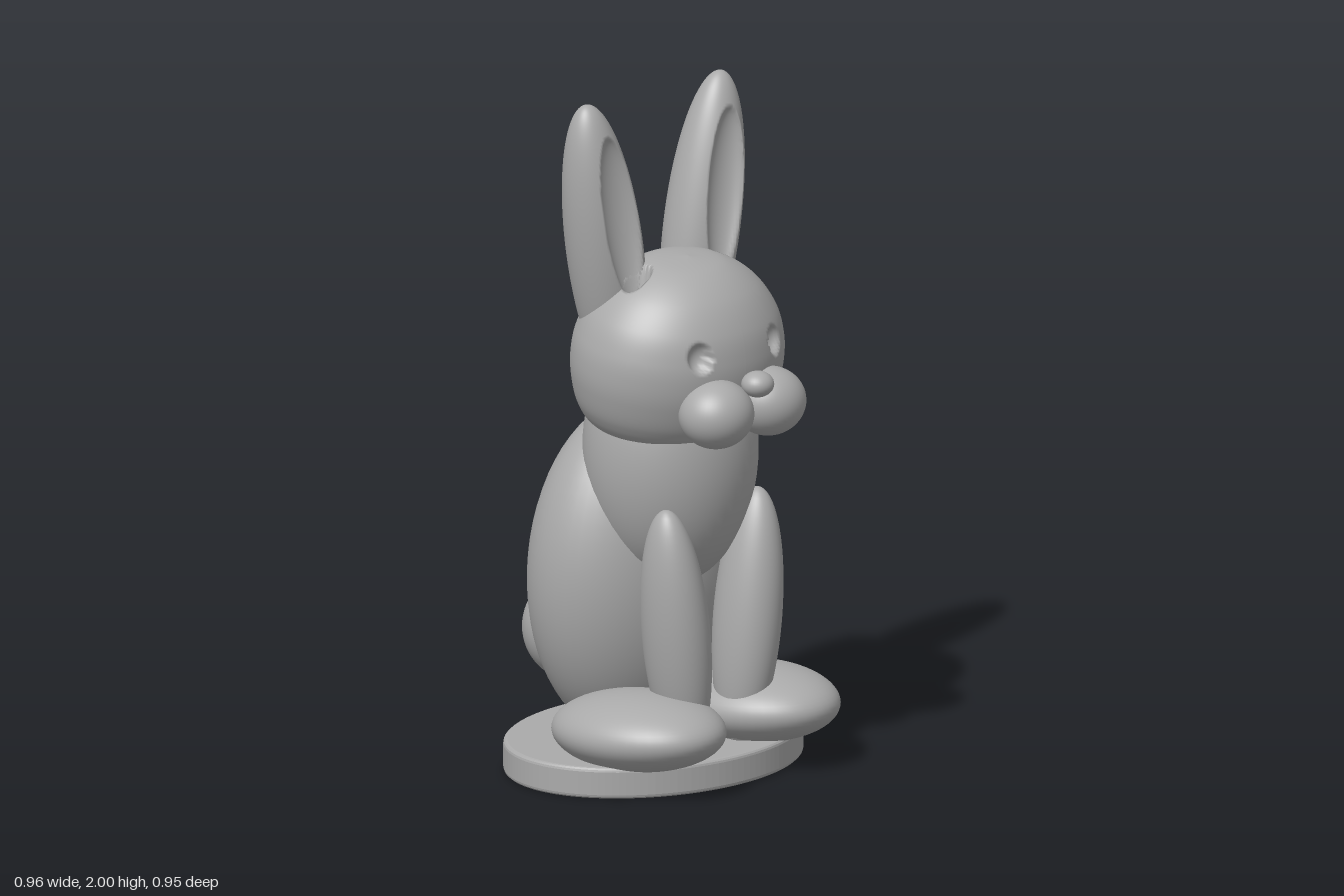
import * as THREE from 'three';

// Placement of an ellipsoid: centre, radii, rotation
function place(center, radii, rot = [0, 0, 0]) {
  return new THREE.Matrix4().compose(
    new THREE.Vector3(...center),
    new THREE.Quaternion().setFromEuler(new THREE.Euler(...rot)),
    new THREE.Vector3(...radii)
  );
}

function ellipsoid(matrix, w = 48, h = 32) {
  return new THREE.SphereGeometry(1, w, h).applyMatrix4(matrix);
}

// Hollows a surface: points inside the ellipsoid tool slide along dir to its far wall
function carve(geometry, tool, dir) {
  const inverse = tool.clone().invert();
  const pos = geometry.attributes.position;
  const p = new THREE.Vector3(), q = new THREE.Vector3(), d = new THREE.Vector3();
  for (let i = 0; i < pos.count; i++) {
    p.fromBufferAttribute(pos, i);
    q.copy(p).applyMatrix4(inverse);
    if (q.lengthSq() >= 1) continue;
    d.copy(p).add(dir).applyMatrix4(inverse).sub(q);
    const a = d.lengthSq(), b = q.dot(d), c = q.lengthSq() - 1;
    p.addScaledVector(dir, (-b + Math.sqrt(b * b - a * c)) / a);
    pos.setXYZ(i, p.x, p.y, p.z);
  }
}

export function createModel() {
  const group = new THREE.Group();
  const grey = new THREE.MeshStandardMaterial({ color: 0xaaaaaa });
  grey.name = 'stone grey';
  const add = (name, geometry) => {
    const mesh = new THREE.Mesh(geometry, grey);
    mesh.name = name;
    group.add(mesh);
  };
  const back = new THREE.Vector3(0, 0, -1), down = new THREE.Vector3(0, -1, 0);
  const earTool = s => place([0.205 * s, 1.65, 0.095], [0.067, 0.262, 0.05], [-0.1, 0, -0.15 * s]);
  const eyeTool = s => place([0.15 * s, 1.29, 0.35], [0.038, 0.045, 0.035], [0, 0.4 * s, 0]);

  // Oval base with two small holes underneath
  const bevel = 0.012;
  const oval = new THREE.Shape().absellipse(0, 0, 0.478 - bevel, 0.372 - bevel, 0, Math.PI * 2);
  for (const s of [-1, 1]) {
    oval.holes.push(new THREE.Path().absarc(0.245 * s, 0, 0.026, 0, Math.PI * 2, true));
  }
  const base = new THREE.ExtrudeGeometry(oval, {
    depth: 0.092 - 2 * bevel, curveSegments: 64,
    bevelSize: bevel, bevelThickness: bevel, bevelSegments: 3
  });
  base.rotateX(-Math.PI / 2).translate(0, bevel, 0);
  add('base', base);

  // Torso
  add('body', ellipsoid(place([0, 0.56, -0.092], [0.337, 0.5, 0.25], [0.04, 0, 0])));
  add('chest', ellipsoid(place([0, 0.94, 0.07], [0.262, 0.4, 0.243])));
  add('tail', ellipsoid(place([0, 0.332, -0.322], [0.15, 0.157, 0.153])));

  // Head: rounded dome with a flatter underside, tipped slightly forward
  const profile = new THREE.SplineCurve([
    [0, -0.265], [0.14, -0.26], [0.245, -0.235], [0.295, -0.18], [0.322, -0.1], [0.33, -0.03],
    [0.322, 0.04], [0.29, 0.12], [0.22, 0.2], [0.12, 0.254], [0, 0.27]
  ].map(([x, y]) => new THREE.Vector2(x, y)));
  const points = profile.getSpacedPoints(130);
  points.forEach(p => { p.x = Math.max(p.x, 0); });
  const head = new THREE.LatheGeometry(points, 220);
  head.applyMatrix4(place([0, 1.26, 0.103], [1, 1, 0.85], [0.15, 0, 0]));
  for (const s of [-1, 1]) {
    carve(head, eyeTool(s), back);
    carve(head, earTool(s), down);
  }
  head.computeVertexNormals();
  add('head', head);
  add('nose', ellipsoid(place([0, 1.202, 0.428], [0.048, 0.038, 0.047]), 32, 20));

  // Paired parts
  for (const s of [-1, 1]) {
    const side = s > 0 ? 'left' : 'right';
    const ear = ellipsoid(place([0.195 * s, 1.56, 0], [0.115, 0.444, 0.106], [0, 0, -0.17 * s]), 120, 100);
    carve(ear, earTool(s), back);
    ear.computeVertexNormals();
    add(side + 'Ear', ear);
    add(side + 'Cheek', ellipsoid(place([0.104 * s, 1.12, 0.365], [0.112, 0.1, 0.106])));
    add(side + 'FrontLeg', ellipsoid(place([0.143 * s, 0.45, 0.24], [0.092, 0.377, 0.106], [0, 0, -0.11 * s])));
    add(side + 'Foot', ellipsoid(place([0.228 * s, 0.168, 0.175], [0.216, 0.112, 0.284], [-0.06, 0, 0])));
  }
  return group;
}
